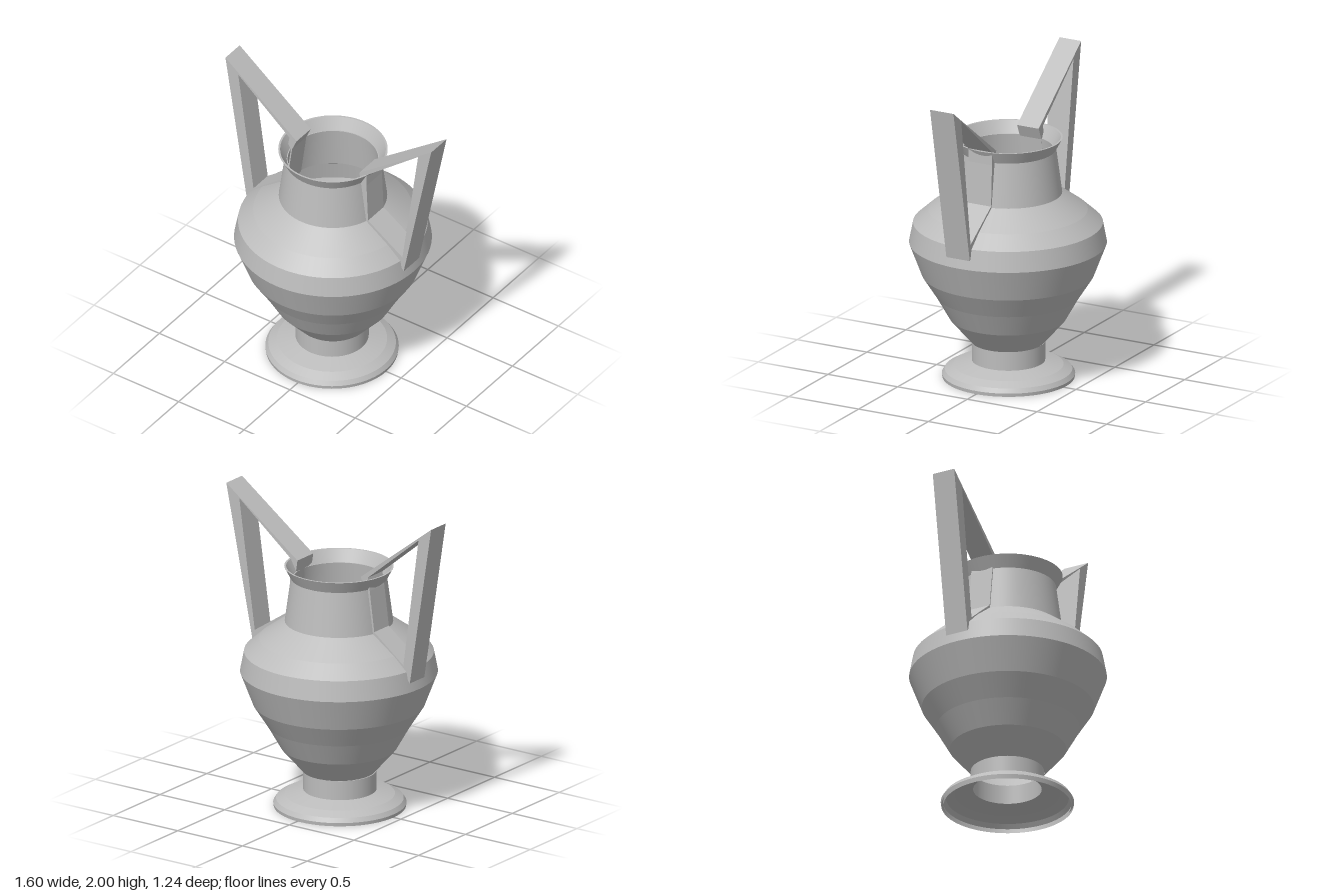
import * as THREE from 'three';
import { mergeGeometries } from 'three/addons/utils/BufferGeometryUtils.js';

const clay = new THREE.MeshStandardMaterial({ color: 0xbcbcbc, side: THREE.DoubleSide });
clay.name = 'grey clay';

// Turned shell: every band is smooth around the axis, with a crisp edge between bands
function turned(name, profile) {
  const bands = [];
  for (let i = 0; i < profile.length - 1; i++) {
    const pair = [profile[i], profile[i + 1]].map(([r, y]) => new THREE.Vector2(r, y));
    bands.push(new THREE.LatheGeometry(pair, 72));
  }
  const mesh = new THREE.Mesh(mergeGeometries(bands), clay);
  mesh.name = name;
  return mesh;
}

// Outer profile followed by its inner wall
function hollow(name, outer, wall) {
  const inner = outer.map(([r, y]) => [r - wall, y]).reverse();
  return turned(name, [...outer, ...inner]);
}

// Flat strap frame cut from a side outline with an opening
function handle(name, outline, opening, zMin, zMax) {
  const toPoints = list => list.map(([x, y]) => new THREE.Vector2(x, y));
  const shape = new THREE.Shape(toPoints(outline));
  shape.holes.push(new THREE.Path(toPoints(opening)));
  const geometry = new THREE.ExtrudeGeometry(shape, { depth: zMax - zMin, bevelEnabled: false });
  geometry.translate(0, 0, zMin);
  const mesh = new THREE.Mesh(geometry, clay);
  mesh.name = name;
  return mesh;
}

export function createModel() {
  const model = new THREE.Group();
  model.name = 'twoHandledVase';

  // Open foot, belly, neck and flared rim, set slightly off the handles' centre
  const vessel = new THREE.Group();
  vessel.name = 'vessel';
  vessel.position.x = -0.022;
  const foot = hollow('foot', [
    [0.415, 0], [0.418, 0.022], [0.4, 0.05], [0.345, 0.08], [0.23, 0.11], [0.23, 0.235],
  ], 0.015);
  foot.position.x = -0.007;
  vessel.add(
    foot,
    hollow('belly', [
      [0.23, 0.235], [0.365, 0.39], [0.45, 0.54], [0.54, 0.68],
      [0.62, 0.89], [0.595, 1.02], [0.5, 1.105], [0.34, 1.22],
    ], 0.018),
    hollow('neck', [[0.34, 1.22], [0.302, 1.505]], 0.018),
    hollow('rim', [[0.302, 1.505], [0.343, 1.583]], 0.012),
  );
  model.add(vessel);

  // Handles rise from the shoulder to a peak and slope back to the rim
  model.add(handle('rightHandle',
    [[-0.8, 2], [-0.255, 1.58], [-0.29, 1.5], [-0.33, 1.21], [-0.57, 1.03], [-0.635, 0.95]],
    [[-0.702, 1.91], [-0.585, 1.06], [-0.36, 1.235], [-0.325, 1.5], [-0.31, 1.585]],
    -0.09, 0.065));
  model.add(handle('leftHandle',
    [[0.8, 1.985], [0.25, 1.58], [0.262, 1.5], [0.295, 1.21], [0.53, 1.03], [0.59, 0.95]],
    [[0.7, 1.905], [0.58, 1.055], [0.317, 1.23], [0.305, 1.5], [0.305, 1.585]],
    -0.068, 0.1));

  return model;
}
